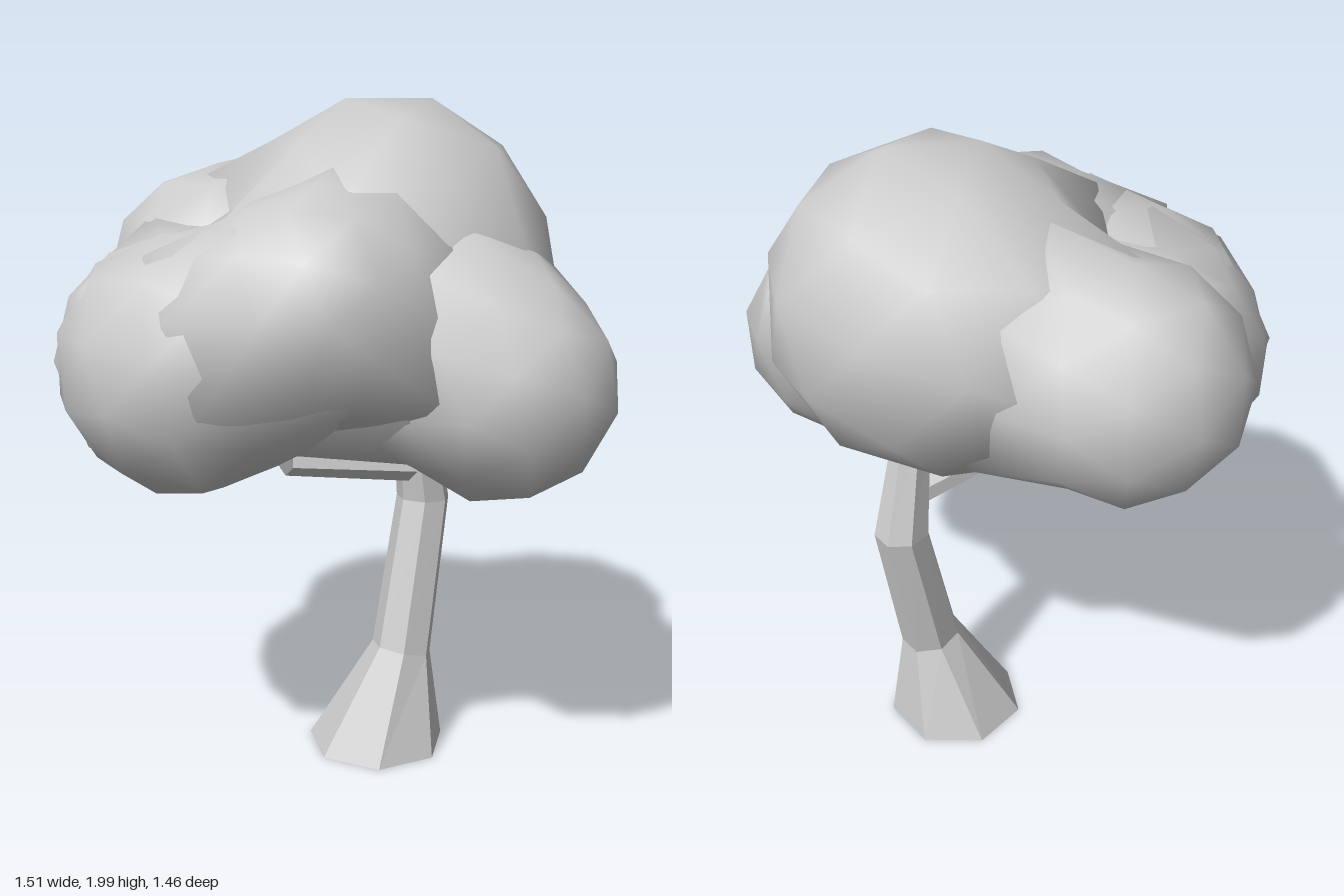
import * as THREE from 'three';
import { mergeVertices } from 'three/addons/utils/BufferGeometryUtils.js';

// Foliage lobes: name, centre, radius, turn about y, tilt about z
const LOBES = [
  ['crownLobe', [0.23, 1.535, -0.03], 0.475, 0, -0.28],
  ['frontLeftLobe', [0.43, 1.235, 0.425], 0.325, 0.4, 0.2],
  ['rightLobe', [-0.4, 1.285, 0.23], 0.36, 0.2, 0.25],
  ['rightBackLobe', [-0.44, 1.3, -0.03], 0.29, 0.5, 0],
  ['frontLobe', [-0.08, 1.46, 0.375], 0.315, 0.9, 0],
  ['backLobe', [-0.215, 1.45, -0.4], 0.335, 0.3, 0],
].map(([name, c, r, turn, tilt]) => ({ name, c: new THREE.Vector3(...c), r, turn, tilt }));

// Soft union of all lobes: negative inside the foliage
function foliageField(p) {
  const k = 0.05;
  let sum = 0;
  for (const l of LOBES) sum += Math.exp(-(p.distanceTo(l.c) - l.r) / k);
  return -k * Math.log(sum);
}

// Low-poly ball whose vertices reach out into the neighbouring lobes
function lobeGeometry({ c, r, turn, tilt }) {
  let geo = new THREE.IcosahedronGeometry(1, 1).rotateY(turn).rotateZ(tilt);
  geo.deleteAttribute('uv');
  geo.deleteAttribute('normal');
  geo = mergeVertices(geo, 1e-4);
  const pos = geo.attributes.position;
  const dir = new THREE.Vector3(), p = new THREE.Vector3();
  for (let i = 0; i < pos.count; i++) {
    dir.fromBufferAttribute(pos, i).normalize();
    let t = 0.95 * r;
    do {
      t += 0.004;
      p.copy(c).addScaledVector(dir, t);
    } while (t < 1.5 * r && foliageField(p) < 0);
    pos.setXYZ(i, p.x, p.y, p.z);
  }
  geo.computeVertexNormals();
  return geo;
}

// Faceted limb through stations [x, y, z, radius], open at both ends
function limbGeometry(stations, sides, phase) {
  const pts = stations.map(([x, y, z]) => new THREE.Vector3(x, y, z));
  const verts = [], index = [];
  stations.forEach(([, y, , r], i) => {
    const tangent = pts[Math.min(i + 1, pts.length - 1)].clone()
      .sub(pts[Math.max(i - 1, 0)]).normalize();
    if (y === 0) tangent.set(0, 1, 0);
    const q = new THREE.Quaternion().setFromUnitVectors(new THREE.Vector3(0, 1, 0), tangent);
    for (let j = 0; j < sides; j++) {
      const a = phase + (j / sides) * Math.PI * 2;
      const v = new THREE.Vector3(Math.sin(a) * r, 0, Math.cos(a) * r).applyQuaternion(q).add(pts[i]);
      verts.push(v.x, v.y, v.z);
      if (i > 0) {
        const k = (j + 1) % sides, b = (i - 1) * sides, t = i * sides;
        index.push(b + j, b + k, t + k, b + j, t + k, t + j);
      }
    }
  });
  const geo = new THREE.BufferGeometry();
  geo.setAttribute('position', new THREE.Float32BufferAttribute(verts, 3));
  geo.setIndex(index);
  const flat = geo.toNonIndexed();
  flat.computeVertexNormals();
  return flat;
}

export function createModel() {
  const tree = new THREE.Group();
  tree.name = 'tree';
  const leafMat = new THREE.MeshStandardMaterial({ color: 0xcccccc });
  const barkMat = new THREE.MeshStandardMaterial({
    color: 0xcccccc, flatShading: true, side: THREE.DoubleSide,
  });
  const add = (name, geo, mat) => {
    const mesh = new THREE.Mesh(geo, mat);
    mesh.name = name;
    tree.add(mesh);
  };

  // Flared, bending trunk
  add('trunk', limbGeometry([
    [0.202, 0, 0.025, 0.215],
    [0.28, 0.31, 0.03, 0.094],
    [0.362, 0.78, -0.04, 0.083],
    [0.31, 1.12, 0.0, 0.055],
  ], 7, Math.PI / 2), barkMat);

  // Side branch reaching under the foliage
  add('branch', limbGeometry([
    [0.36, 0.875, -0.02, 0.04],
    [-0.11, 0.965, 0.15, 0.032],
    [-0.2, 1.12, 0.19, 0.025],
  ], 5, 0.3), barkMat);

  // Foliage
  for (const lobe of LOBES) add(lobe.name, lobeGeometry(lobe), leafMat);
  return tree;
}
